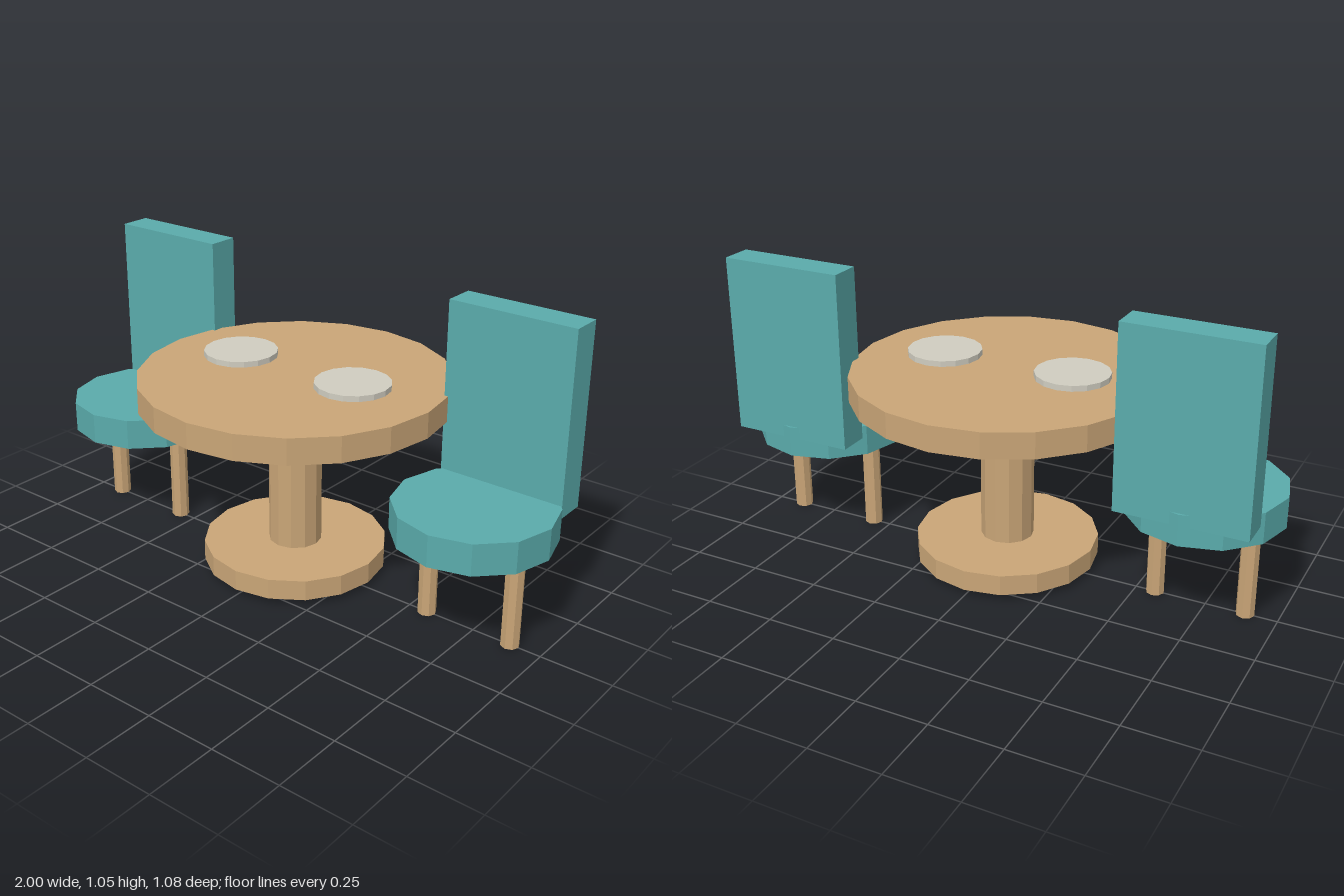
import * as THREE from 'three';

const material = (name, color) => {
  const m = new THREE.MeshStandardMaterial({ color, flatShading: true });
  m.name = name;
  return m;
};

export function createModel() {
  const wood = material('tan wood', 0xc9a577);
  const teal = material('teal upholstery', 0x5aabab);
  const china = material('pale china', 0xd0cdc0);

  const add = (parent, name, geometry, mat, x, y, z = 0) => {
    const mesh = new THREE.Mesh(geometry, mat);
    mesh.name = name;
    mesh.position.set(x, y, z);
    parent.add(mesh);
  };
  // Upright disc or post between two heights
  const post = (parent, name, mat, radius, sides, bottom, top, x = 0) =>
    add(parent, name, new THREE.CylinderGeometry(radius, radius, top - bottom, sides),
      mat, x, (bottom + top) / 2);

  const model = new THREE.Group();
  model.name = 'diningSet';

  // Pedestal table
  const table = new THREE.Group();
  table.name = 'table';
  model.add(table);
  post(table, 'tableBase', wood, 0.325, 16, 0.022, 0.095);
  post(table, 'tableColumn', wood, 0.094, 12, 0.09, 0.635);
  post(table, 'tableTop', wood, 0.541, 20, 0.63, 0.721);

  for (const side of [-1, 1]) {
    const label = side > 0 ? 'left' : 'right';

    // Plate hovering just above the table top
    post(table, label + 'Plate', china, 0.13, 16, 0.732, 0.752, side * 0.243);

    // Chair with a round seat, a slab back and two legs
    const chair = new THREE.Group();
    chair.name = label + 'Chair';
    chair.position.x = side * 0.729;
    model.add(chair);
    post(chair, 'seat', teal, 0.271, 12, 0.35, 0.46);
    add(chair, 'backrest', new THREE.BoxGeometry(0.451, 0.634, 0.112), teal, 0, 0.733, -0.206);
    for (const x of [-0.16, 0.16]) post(chair, 'leg', wood, 0.032, 8, 0, 0.355, x);
  }
  return model;
}
